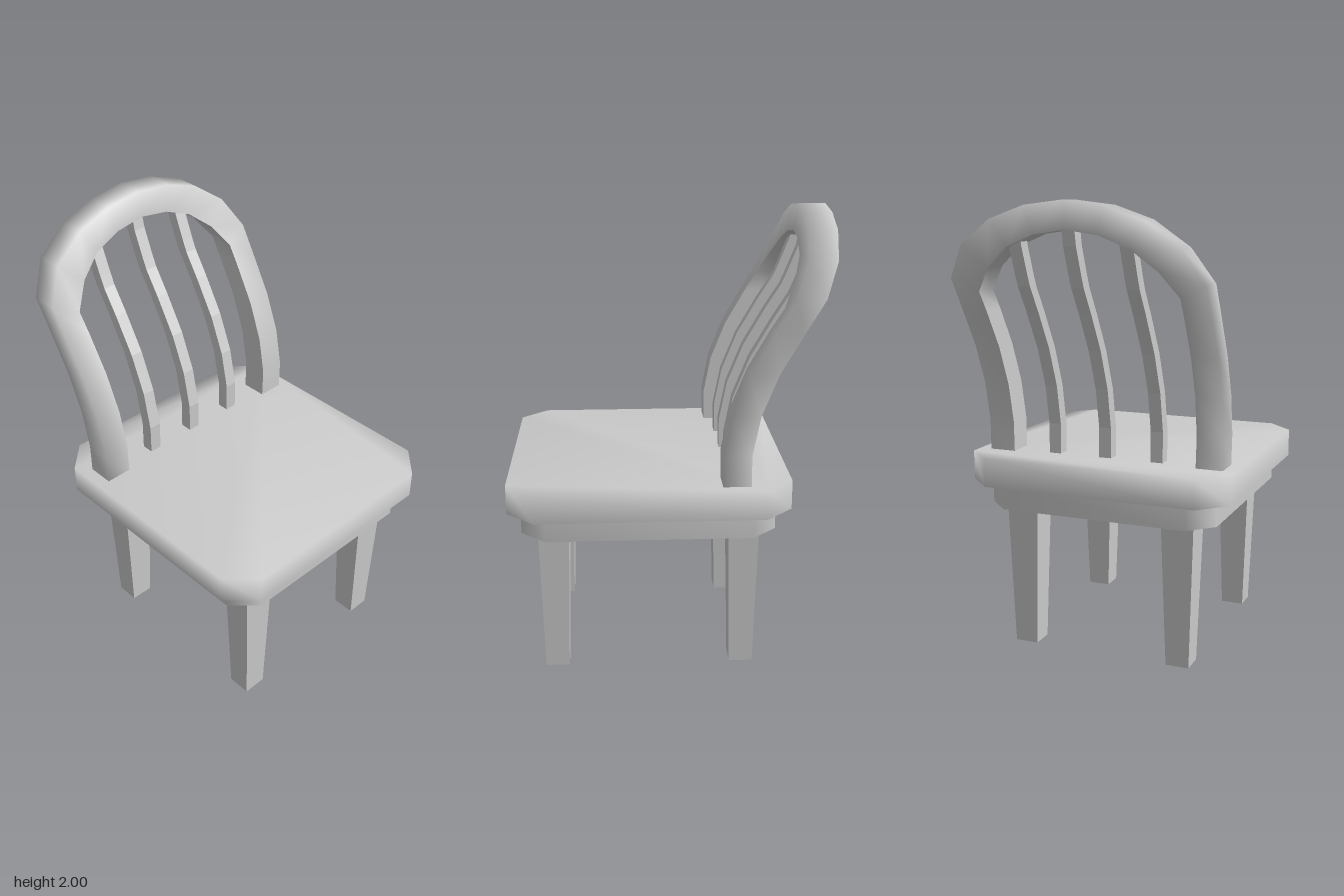
import * as THREE from 'three';
import { mergeGeometries } from 'three/addons/utils/BufferGeometryUtils.js';

const material = new THREE.MeshStandardMaterial({ color: 0xcccccc });
const flatMaterial = new THREE.MeshStandardMaterial({ color: 0xcccccc, flatShading: true });

// S-curve of the backrest: [height, depth]
const CURVE = [
  [0.87, -0.273], [1.025, -0.271], [1.2, -0.305], [1.375, -0.375], [1.54, -0.47],
  [1.65, -0.54], [1.7, -0.562], [1.82, -0.61], [1.925, -0.631], [2.0, -0.639],
];

function depthAt(y) {
  let i = 1;
  while (i < CURVE.length - 1 && CURVE[i][0] < y) i++;
  const [y0, z0] = CURVE[i - 1], [y1, z1] = CURVE[i];
  return z0 + ((z1 - z0) * (y - y0)) / (y1 - y0);
}

function indexed(points, index) {
  const geometry = new THREE.BufferGeometry();
  geometry.setAttribute('position', new THREE.Float32BufferAttribute(points.flat(), 3));
  geometry.setIndex(index);
  geometry.computeVertexNormals();
  return geometry;
}

// Surface through a row of cross-sections
function loft(rings) {
  const n = rings[0].length, index = [];
  for (let k = 0; k < rings.length - 1; k++) {
    for (let p = 0; p < n - 1; p++) {
      const a = k * n + p, b = a + 1, c = b + n, d = a + n;
      index.push(a, d, c, a, c, b);
    }
  }
  return indexed(rings.flat(), index);
}

// Board with cut corners; a soft top rolls its shading into the sides
function board(w, z0, z1, y0, y1, cut, top) {
  const outline = [
    [w, z0 + cut], [w, z1 - cut], [w - cut, z1], [cut - w, z1],
    [-w, z1 - cut], [-w, z0 + cut], [cut - w, z0], [w - cut, z0],
  ];
  const points = [y0, y1, y0].flatMap(y => outline.map(([x, z]) => [x, y, z]));
  const index = [];
  for (let i = 0; i < 8; i++) {
    const j = (i + 1) % 8;
    index.push(i, i + 8, j + 8, i, j + 8, j);
    if (i > 0 && i < 7) {
      index.push(16, 16 + i, 17 + i);
      if (top) index.push(8, 9 + i, 8 + i);
    }
  }
  return indexed(points, index);
}

// Bent hoop: straight posts joined by an arch, [outer x, outer y, inner x, inner y]
function hoopGeometry() {
  const half = [];
  for (const y of [0.87, 1.025, 1.2, 1.375, 1.54]) {
    const t = (y - 0.87) / 0.78;
    half.push([0.55 + 0.01 * t, y, 0.43 + 0.015 * t, y]);
  }
  half.push(
    [0.56, 1.68, 0.445, 1.625], [0.475, 1.82, 0.37, 1.73],
    [0.33, 1.925, 0.265, 1.815], [0.17, 1.98, 0.14, 1.865],
  );
  const mirrored = half.map(([a, b, c, d]) => [-a, b, -c, d]).reverse();
  const path = [...half, [0, 2, 0, 1.885], ...mirrored];
  const corner = (x, y, side) => [x, y, depthAt(y) + side * 0.06];
  const shell = path.map(([ox, oy, ix, iy]) => [
    corner(ix, iy, -1), corner(ox, oy, -1), corner(ox, oy, 1), corner(ix, iy, 1),
  ]);
  const inside = path.map(([, , ix, iy]) => [corner(ix, iy, 1), corner(ix, iy, -1)]);
  return mergeGeometries([loft(shell), loft(inside)]);
}

// Square rod that follows the backrest curve
function spindleGeometry(top) {
  const r = 0.028;
  const levels = [...CURVE.map(c => c[0]).filter(y => y < top - 0.02), top];
  return loft(levels.map(y =>
    [[1, -1], [1, 1], [-1, 1], [-1, -1], [1, -1]].map(([sx, sz]) => [sx * r, y, depthAt(y) + sz * r])));
}

// Leg narrowing towards the floor
function legGeometry() {
  const geometry = new THREE.BoxGeometry(0.148, 0.66, 0.135);
  geometry.translate(0, 0.33, 0);
  const p = geometry.attributes.position;
  for (let i = 0; i < p.count; i++) {
    if (p.getY(i) < 0.1) p.setXYZ(i, Math.sign(p.getX(i)) * 0.053, 0, Math.sign(p.getZ(i)) * 0.052);
  }
  return geometry;
}

export function createModel() {
  const chair = new THREE.Group();
  chair.name = 'chair';
  const add = (name, geometry, mat, x = 0, z = 0) => {
    const mesh = new THREE.Mesh(geometry, mat);
    mesh.name = name;
    mesh.position.set(x, 0, z);
    chair.add(mesh);
  };

  add('seat', board(0.605, -0.515, 0.7, 0.762, 0.89, 0.12, true), material);
  add('apron', board(0.533, -0.455, 0.645, 0.65, 0.762, 0.105, false), material);
  add('backHoop', hoopGeometry(), material);

  add('centreSpindle', spindleGeometry(1.92), flatMaterial);
  for (const [side, s] of [['left', 1], ['right', -1]]) {
    add(`${side}Spindle`, spindleGeometry(1.85), flatMaterial, s * 0.242);
    add(`${side}FrontLeg`, legGeometry(), flatMaterial, s * 0.368, 0.507);
    add(`${side}BackLeg`, legGeometry(), flatMaterial, s * 0.368, -0.317);
  }
  return chair;
}
